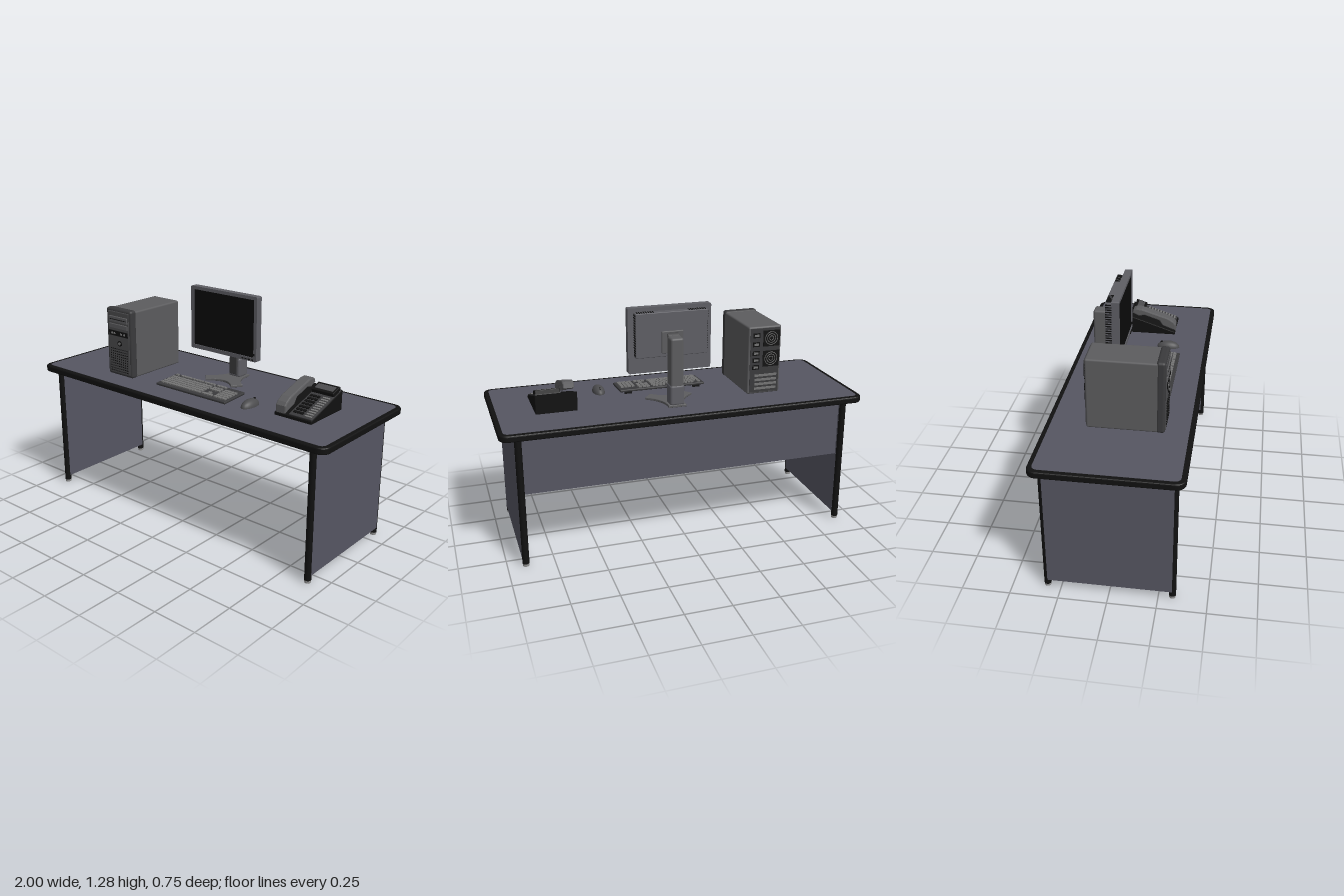
import * as THREE from 'three';
import { RoundedBoxGeometry } from 'three/addons/geometries/RoundedBoxGeometry.js';
import { mergeGeometries } from 'three/addons/utils/BufferGeometryUtils.js';

const mat = (color) => new THREE.MeshStandardMaterial({ color });
const M = {
  desk: mat(0x565662), black: mat(0x111111), steel: mat(0x999999), shell: mat(0x5c5c5e),
  dark: mat(0x3a3a3c), bezel: mat(0x5e5e64), screen: mat(0x0b0b0b), key: mat(0x747474), grey: mat(0x4c4c4e),
};

function add(parent, name, geometry, material, x = 0, y = 0, z = 0) {
  const mesh = new THREE.Mesh(geometry, material);
  mesh.name = name;
  mesh.position.set(x, y, z);
  parent.add(mesh);
  return mesh;
}

function group(parent, name) {
  const g = new THREE.Group();
  g.name = name;
  parent.add(g);
  return g;
}

// Box given by its limits, optionally with rounded edges
function block(parent, name, material, [x0, x1], [y0, y1], [z0, z1], r = 0) {
  const s = [x1 - x0, y1 - y0, z1 - z0];
  const geo = r ? new RoundedBoxGeometry(...s, 3, r) : new THREE.BoxGeometry(...s);
  return add(parent, name, geo, material, (x0 + x1) / 2, (y0 + y1) / 2, (z0 + z1) / 2);
}

function boxAt(w, h, d, x, y, z) {
  return new THREE.BoxGeometry(w, h, d).translate(x, y, z);
}

function roundedRect(w, h, r) {
  const s = new THREE.Shape();
  s.absarc(w / 2 - r, h / 2 - r, r, 0, Math.PI / 2);
  s.absarc(-w / 2 + r, h / 2 - r, r, Math.PI / 2, Math.PI);
  s.absarc(-w / 2 + r, -h / 2 + r, r, Math.PI, Math.PI * 1.5);
  s.absarc(w / 2 - r, -h / 2 + r, r, Math.PI * 1.5, Math.PI * 2);
  return s;
}

// Plan outline (shape y = -z) raised upwards
function slab(shape, height, bevel = 0) {
  return new THREE.ExtrudeGeometry(shape, {
    depth: height - 2 * bevel, curveSegments: 8, bevelEnabled: bevel > 0,
    bevelSize: bevel, bevelThickness: bevel, bevelOffset: -bevel, bevelSegments: 3,
  }).translate(0, 0, bevel).rotateX(-Math.PI / 2);
}

// Side outline of [z, y] points, extruded across x and centred
function sideProfile(points, width, bevel) {
  const shape = new THREE.Shape(points.map(([z, y]) => new THREE.Vector2(-z, y)));
  return new THREE.ExtrudeGeometry(shape, {
    depth: width - 2 * bevel, bevelSize: bevel, bevelThickness: bevel, bevelOffset: -bevel, bevelSegments: 2,
  }).translate(0, 0, bevel - width / 2).rotateY(Math.PI / 2);
}

function buildDesk(root) {
  const desk = group(root, 'desk');
  add(desk, 'topEdge', slab(roundedRect(2, 0.754, 0.05), 0.036, 0.008), M.black, 0, 0.725, 0);
  add(desk, 'topSurface', slab(roundedRect(1.95, 0.704, 0.03), 0.004), M.desk, 0, 0.7585, 0);
  for (const s of [-1, 1]) {
    const x = s * 0.904;
    add(desk, 'sidePanel', new THREE.BoxGeometry(0.037, 0.682, 0.64), M.desk, x, 0.384, 0);
    for (const z of [-0.3215, 0.3215]) {
      add(desk, 'leg', new THREE.CylinderGeometry(0.0185, 0.0185, 0.71, 16), M.black, x, 0.37, z);
      add(desk, 'foot', new THREE.CylinderGeometry(0.0185, 0.0165, 0.017, 16), M.steel, x, 0.0085, z);
    }
  }
  block(desk, 'modestyPanel', M.desk, [-0.886, 0.886], [0.405, 0.726], [-0.31, -0.275]);
}

function buildTower(root) {
  const t = group(root, 'computerTower');
  const cx = -0.4865;
  block(t, 'case', M.shell, [-0.583, -0.39], [0.765, 1.148], [-0.165, 0.215], 0.01);
  // Front bezel with a rounded top and recessed face
  block(t, 'bezel', M.dark, [-0.585, -0.388], [0.762, 1.155], [0.185, 0.232], 0.015);
  block(t, 'frontFace', M.grey, [-0.57, -0.403], [0.775, 1.14], [0.2, 0.235], 0.006);
  block(t, 'opticalDrive', M.shell, [-0.56, -0.413], [1.076, 1.112], [0.22, 0.24], 0.004);
  block(t, 'driveSlot', M.black, [-0.55, -0.423], [1.092, 1.096], [0.235, 0.241]);
  block(t, 'lowerDrive', M.shell, [-0.56, -0.413], [1.04, 1.068], [0.22, 0.239], 0.004);
  block(t, 'portPanel', M.black, [-0.56, -0.413], [0.998, 1.028], [0.22, 0.238]);
  for (const dx of [-0.05, -0.03, 0.025, 0.048]) {
    add(t, 'frontPort', new THREE.BoxGeometry(0.012, 0.01, 0.004), M.key, cx + dx, 1.013, 0.239);
  }
  add(t, 'powerButton', new THREE.CylinderGeometry(0.016, 0.016, 0.012, 20).rotateX(Math.PI / 2), M.black, cx + 0.01, 0.957, 0.235);
  add(t, 'powerCap', new THREE.CylinderGeometry(0.009, 0.009, 0.008, 20).rotateX(Math.PI / 2), M.key, cx + 0.01, 0.957, 0.239);
  const holes = [];
  for (let r = 0; r < 10; r++) for (let c = 0; c < 9; c++) {
    holes.push(boxAt(0.008, 0.006, 0.003, cx + (c - 4) * 0.016, 0.79 + r * 0.0145, 0.235));
  }
  add(t, 'frontGrille', mergeGeometries(holes), M.black);
  // Back plate with fans, ports and card slots
  block(t, 'backPlate', M.dark, [-0.572, -0.401], [0.775, 1.138], [-0.168, -0.155]);
  for (const y of [1.08, 0.965]) {
    block(t, 'fanPlate', M.black, [-0.572, -0.475], [y - 0.045, y + 0.045], [-0.17, -0.16]);
    for (const r of [0.012, 0.024, 0.036]) {
      add(t, 'fanRing', new THREE.TorusGeometry(r, 0.002, 6, 24), M.key, -0.523, y, -0.17);
    }
  }
  for (const y of [1.1, 1.05, 1.0, 0.96, 0.92]) {
    block(t, 'rearPort', M.black, [-0.455, -0.415], [y - 0.013, y + 0.013], [-0.171, -0.16]);
    block(t, 'rearSocket', M.key, [-0.448, -0.422], [y - 0.006, y + 0.006], [-0.173, -0.16]);
  }
  for (let i = 0; i < 4; i++) {
    block(t, 'cardSlot', M.key, [-0.56, -0.43], [0.79 + i * 0.025, 0.803 + i * 0.025], [-0.171, -0.16]);
  }
}

function buildMonitor(root) {
  const m = group(root, 'monitor');
  m.position.x = 0.037;
  const frame = roundedRect(0.464, 0.358, 0.008);
  const hole = roundedRect(0.424, 0.318, 0.002);
  frame.holes.push(new THREE.Path(hole.getPoints(4).map((p) => new THREE.Vector2(p.x, p.y + 0.002))));
  add(m, 'screenFrame', new THREE.ExtrudeGeometry(frame, { depth: 0.04, bevelEnabled: false }), M.bezel, 0, 1.105, -0.097);
  block(m, 'screen', M.screen, [-0.215, 0.215], [0.94, 1.27], [-0.09, -0.062]);
  block(m, 'frameBack', M.bezel, [-0.228, 0.228], [0.93, 1.28], [-0.097, -0.088]);
  for (let i = 0; i < 4; i++) {
    add(m, 'button', new THREE.BoxGeometry(0.012, 0.006, 0.006), M.black, 0.14 + i * 0.022, 0.936, -0.056);
  }
  add(m, 'powerLight', new THREE.BoxGeometry(0.012, 0.012, 0.006), M.black, 0.216, 0.966, -0.056);
  // Rear housing with vent slats along both ends and the top
  block(m, 'rearHousing', M.bezel, [-0.2, 0.2], [1.02, 1.262], [-0.137, -0.095], 0.004);
  const slats = [];
  for (const s of [-1, 1]) {
    for (let i = 0; i < 17; i++) slats.push(boxAt(0.004, 0.006, 0.034, s * 0.2, 1.035 + i * 0.0134, -0.118));
    for (let i = 0; i < 8; i++) slats.push(boxAt(0.006, 0.004, 0.03, s * (0.1 + i * 0.0125), 1.262, -0.118));
  }
  add(m, 'vents', mergeGeometries(slats), M.black);
  // Tilting mount and column
  block(m, 'mountPlate', M.shell, [-0.06, 0.06], [1.04, 1.16], [-0.148, -0.135], 0.004);
  add(m, 'tiltHinge', new THREE.CylinderGeometry(0.058, 0.058, 0.06, 28).rotateZ(Math.PI / 2), M.dark, 0, 1.1, -0.122);
  block(m, 'column', M.shell, [-0.036, 0.036], [0.87, 1.14], [-0.232, -0.158], 0.012);
  block(m, 'columnSleeve', M.bezel, [-0.04, 0.04], [0.77, 0.885], [-0.235, -0.156], 0.014);
  block(m, 'columnFace', M.dark, [-0.025, 0.025], [0.79, 1.1], [-0.162, -0.147], 0.004);
  // Splayed base with concave front and sides
  const b = new THREE.Shape();
  b.moveTo(-0.05, 0.237);
  b.lineTo(0.05, 0.237);
  b.quadraticCurveTo(0.04, 0.13, 0.135, 0.068);
  b.lineTo(0.092, 0.016);
  b.quadraticCurveTo(0, 0.115, -0.092, 0.016);
  b.lineTo(-0.135, 0.068);
  b.quadraticCurveTo(-0.04, 0.13, -0.05, 0.237);
  add(m, 'base', slab(b, 0.014, 0.003), M.shell, 0, 0.762, 0);
}

function buildKeyboard(root) {
  const k = group(root, 'keyboard');
  k.position.set(0.033, 0.765, 0.22);
  k.rotation.x = 0.06;
  block(k, 'keyboardBody', M.dark, [-0.247, 0.247], [0, 0.014], [-0.172, 0], 0.005);
  const keys = [];
  const row = (x0, x1, n, z, d = 0.018) => {
    const p = (x1 - x0) / n;
    for (let i = 0; i < n; i++) keys.push(boxAt(p - 0.004, 0.009, d, x0 + (i + 0.5) * p, 0.017, z));
  };
  row(-0.23, -0.21, 1, -0.151, 0.014);
  for (const x of [-0.19, -0.105, -0.02]) row(x, x + 0.077, 4, -0.151, 0.014);
  row(0.07, 0.138, 3, -0.151, 0.014);
  const edges = [[0, 0.03], [0.025, 0.022], [0.032, 0.042], [0.042, 0.055]];
  edges.forEach(([l, r], i) => {
    const z = -0.118 + i * 0.0225;
    if (l) row(-0.23, -0.23 + l, 1, z);
    row(-0.23 + l, 0.058 - r, 13 - i, z);
    row(0.058 - r, 0.058, 1, z);
    if (i < 2) row(0.07, 0.138, 3, z);
    row(0.15, 0.234, 4, z);
  });
  row(-0.23, -0.155, 3, -0.028);
  row(-0.155, -0.015, 1, -0.028);
  row(-0.015, 0.058, 3, -0.028);
  row(0.0927, 0.1153, 1, -0.0505);
  row(0.07, 0.138, 3, -0.028);
  row(0.15, 0.234, 3, -0.028);
  add(k, 'keys', mergeGeometries(keys), M.key);
  for (const x of [-0.2, 0.2]) block(k, 'keyboardFoot', M.black, [x - 0.02, x + 0.02], [-0.012, 0.002], [-0.165, -0.155]);
}

function buildMouse(root) {
  const m = group(root, 'mouse');
  m.position.set(0.384, 0.762, 0.14);
  add(m, 'mouseBody', new THREE.SphereGeometry(1, 28, 10, 0, Math.PI * 2, 0, Math.PI / 2).scale(0.034, 0.038, 0.066), M.grey);
  add(m, 'mouseWheel', new THREE.CylinderGeometry(0.01, 0.01, 0.007, 16).rotateZ(Math.PI / 2), M.black, 0, 0.027, -0.038);
}

function buildPhone(root) {
  const p = group(root, 'telephone');
  const body = [[0.16, 0.761], [0.16, 0.777], [-0.12, 0.869], [-0.12, 0.761]];
  add(p, 'phoneBody', sideProfile(body, 0.224, 0.004), M.black, 0.667, 0, 0);
  const handset = [[0.164, 0.783], [0.164, 0.822], [0.15, 0.84], [0.117, 0.861], [-0.046, 0.912], [-0.08, 0.914],
    [-0.097, 0.905], [-0.103, 0.885], [-0.063, 0.866], [-0.03, 0.874], [0.063, 0.844], [0.083, 0.813]];
  add(p, 'handset', sideProfile(handset, 0.062, 0.007), M.shell, 0.595, 0, 0);
  // Controls lie on the sloping top face
  const f = group(p, 'phoneControls');
  f.position.set(0, 0.777, 0.16);
  f.rotation.x = Math.atan2(0.092, 0.28);
  block(f, 'facePlate', M.dark, [0.64, 0.776], [-0.002, 0.006], [-0.285, -0.008], 0.002);
  block(f, 'displayHousing', M.black, [0.642, 0.775], [0, 0.026], [-0.285, -0.215], 0.004);
  block(f, 'display', M.grey, [0.655, 0.762], [0.02, 0.028], [-0.27, -0.23]);
  const buttons = [];
  for (let r = 0; r < 7; r++) for (let c = 0; c < 3; c++) {
    buttons.push(boxAt(0.016, 0.008, 0.014, 0.662 + c * 0.021, 0.008, -0.035 - r * 0.025));
  }
  add(f, 'keypad', mergeGeometries(buttons), M.black);
  const lines = [];
  for (let r = 0; r < 10; r++) lines.push(boxAt(0.04, 0.006, 0.01, 0.748, 0.007, -0.025 - r * 0.0185));
  add(f, 'speedDialKeys', mergeGeometries(lines), M.key);
}

export function createModel() {
  const root = new THREE.Group();
  root.name = 'officeDesk';
  [buildDesk, buildTower, buildMonitor, buildKeyboard, buildMouse, buildPhone].forEach((build) => build(root));
  return root;
}
